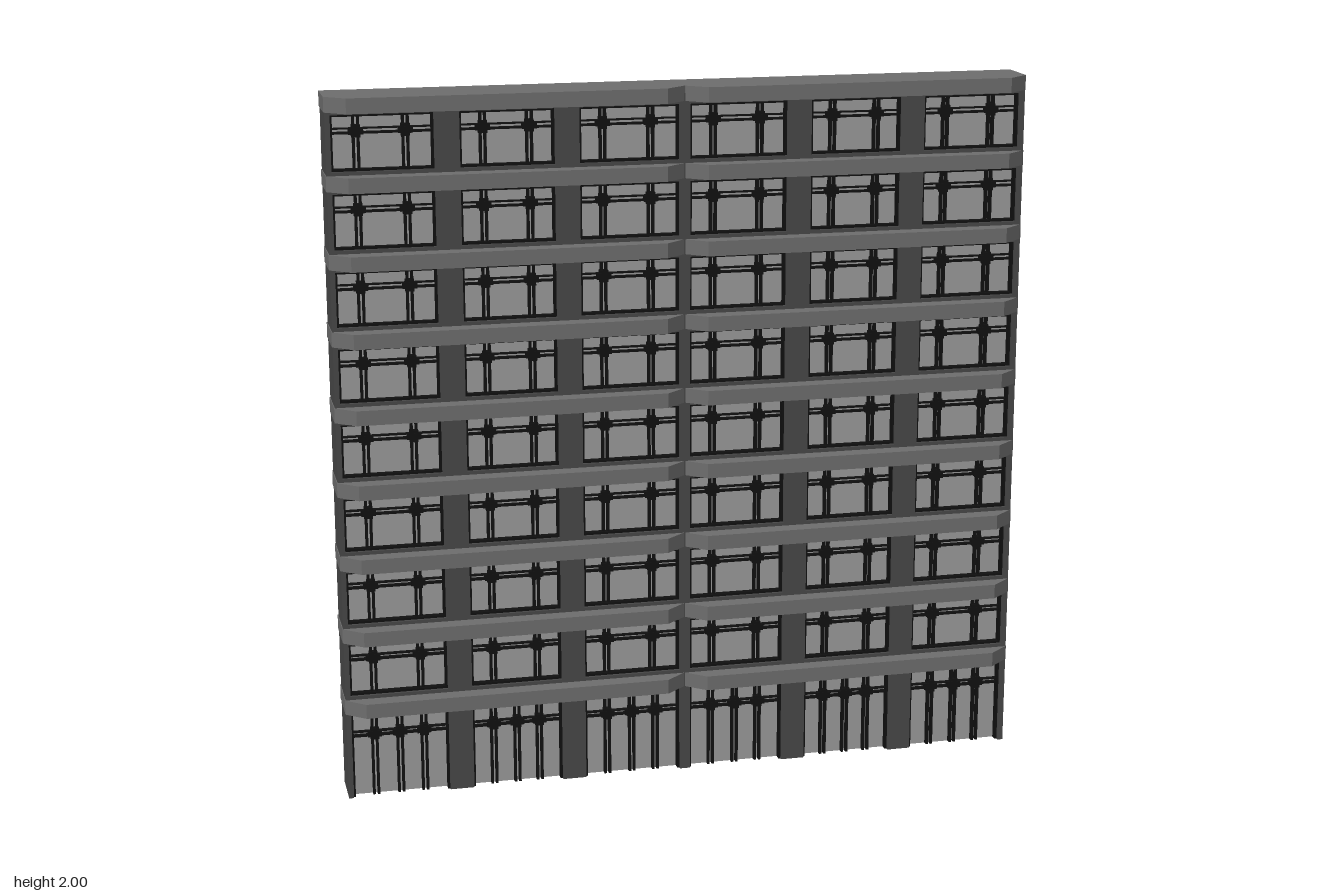
import * as THREE from 'three';
import { mergeGeometries } from 'three/addons/utils/BufferGeometryUtils.js';

const mat = (name, color) => {
  const m = new THREE.MeshStandardMaterial({ color });
  m.name = name;
  return m;
};

// Box given by its min and max corners
const box = (x0, x1, y0, y1, z0, z1) =>
  new THREE.BoxGeometry(x1 - x0, y1 - y0, z1 - z0)
    .translate((x0 + x1) / 2, (y0 + y1) / 2, (z0 + z1) / 2);

const polygon = (pts) => new THREE.Shape(pts.map(([x, y]) => new THREE.Vector2(x, y)));

const FLOORS = 9, PITCH = 0.2128, BAND = 0.042, WIDTH = 0.983;
const BACK = -0.086, FRONT = 0.04, GLASS = 0.012;
// Window openings across one half, with the positions of their upper mullions
const BAYS = [
  { x0: 0.014, x1: 0.291, bars: [0.25, 0.73] },
  { x0: 0.36, x1: 0.62, bars: [0.25, 0.74] },
  { x0: 0.688, x1: 0.967, bars: [0.24, 0.72] },
];
const bandTop = (i) => 2 - PITCH * i;

export function createModel() {
  const wall = mat('dark wall', 0x484848);
  const stone = mat('grey ledge', 0x6e6e6e);
  const pane = mat('pale glass', 0x9a9a9a);
  const metal = mat('black metal', 0x101010);
  const model = new THREE.Group();
  model.name = 'facade';

  // Front wall: ground openings notch the outline, upper ones are holes
  const groundTop = bandTop(FLOORS - 1) - BAND;
  const outline = [[0, 0]];
  for (const { x0, x1 } of BAYS)
    outline.push([x0, 0], [x0, groundTop], [x1, groundTop], [x1, 0]);
  outline.push([WIDTH, 0], [WIDTH, 1.98], [0, 1.98]);
  const face = polygon(outline);

  const glass = [], frames = [], mullions = [], knots = [];

  // One window: pane, border, paired mullions, transom and crossing clamps
  const addWindow = (x0, x1, y0, y1, bars, transom, ground) => {
    const w = x1 - x0, t = 0.006;
    glass.push(box(x0, x1, y0, y1, GLASS - 0.004, GLASS));
    frames.push(
      box(x0, x0 + t, y0, y1, GLASS, 0.032), box(x1 - t, x1, y0, y1, GLASS, 0.032),
      box(x0, x1, y1 - t, y1, GLASS, 0.032));
    if (!ground) frames.push(box(x0, x1, y0, y0 + t, GLASS, 0.032));
    for (const f of bars) {
      const x = x0 + f * w;
      for (const s of [-1, 1]) {
        const c = x + s * 0.0065;
        mullions.push(box(c - 0.0035, c + 0.0035, y0, y1, GLASS, 0.026));
      }
      knots.push(
        box(x - 0.02, x + 0.02, transom - 0.009, transom + 0.009, GLASS, 0.029),
        box(x - 0.012, x + 0.012, transom - 0.017, transom + 0.017, GLASS, 0.028));
    }
    mullions.push(
      box(x0, x1, transom - 0.008, transom - 0.002, GLASS, 0.024),
      box(x0, x1, transom + 0.005, transom + 0.009, GLASS, 0.024));
  };

  for (const { x0, x1, bars } of BAYS) {
    for (let i = 0; i < FLOORS - 1; i++) {
      const y1 = bandTop(i) - BAND - 0.008, y0 = bandTop(i + 1) + 0.01;
      face.holes.push(new THREE.Path(
        [[x0, y0], [x0, y1], [x1, y1], [x1, y0]].map(([x, y]) => new THREE.Vector2(x, y))));
      addWindow(x0, x1, y0, y1, bars, y1 - 0.046, false);
    }
    addWindow(x0, x1, 0, groundTop, [0.24, 0.5, 0.75], 0.185, true);
  }

  const frontWall = new THREE.ExtrudeGeometry(face, { depth: FRONT, bevelEnabled: false });

  // Ledge plan with chamfered outer corner and chamfer at the centre joint
  const ledgeShape = polygon([
    [0, 0.09], [0.985, 0.09], [0.985, -0.037], [0.925, -0.087], [0.055, -0.087], [0, -0.04]].reverse());
  const ledges = [];
  for (let i = 0; i < FLOORS; i++) {
    ledges.push(new THREE.ExtrudeGeometry(ledgeShape, { depth: BAND, bevelEnabled: false })
      .rotateX(-Math.PI / 2).translate(0, bandTop(i) - BAND, 0));
  }

  const parts = [
    ['frontWall', [frontWall], wall],
    ['backWall', [box(0, WIDTH, 0, 1.98, BACK, BACK + 0.01)], wall],
    ['ledges', ledges, stone],
    ['glass', glass, pane],
    ['windowFrames', frames, metal],
    ['mullions', mullions, metal],
    ['mullionClamps', knots, metal],
  ].map(([name, list, material]) => [name, mergeGeometries(list), material]);

  // Two adjoining halves: ledges and walls are symmetric-ended, windows repeat by shifting
  for (const side of ['left', 'right']) {
    const half = new THREE.Group();
    half.name = side + 'Half';
    const shift = side === 'left' ? 0 : -WIDTH;
    for (const [name, geometry, material] of parts) {
      const mesh = new THREE.Mesh(geometry, material);
      mesh.name = name;
      mesh.position.x = name === 'ledges' && shift ? -0.985 : shift;
      half.add(mesh);
    }
    // Outer end wall
    const end = side === 'left' ? box(WIDTH - 0.012, WIDTH, 0, 1.98, BACK, 0.001)
      : box(-WIDTH, -WIDTH + 0.012, 0, 1.98, BACK, 0.001);
    const endWall = new THREE.Mesh(end, wall);
    endWall.name = 'endWall';
    half.add(endWall);
    model.add(half);
  }
  return model;
}
